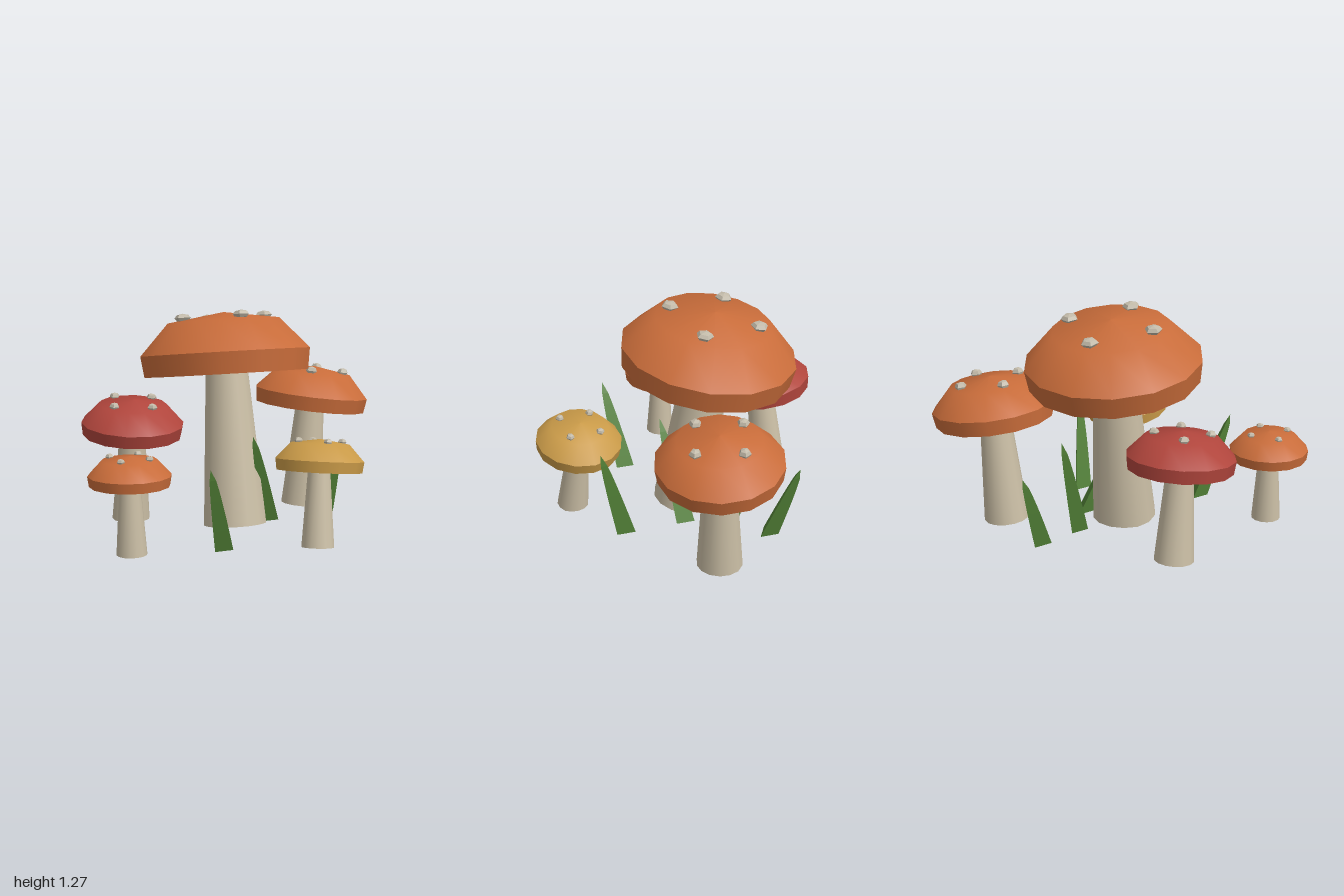
import * as THREE from 'three';

const mat = (name, color) => {
  const m = new THREE.MeshStandardMaterial({ color });
  m.name = name;
  return m;
};
const UP = new THREE.Vector3(0, 1, 0);
const SIDES = 14;

function addMesh(parent, name, geometry, material) {
  const mesh = new THREE.Mesh(geometry, material);
  mesh.name = name;
  parent.add(mesh);
  return mesh;
}

// Split faces so each gets its own flat normal
function faceted(geometry) {
  const g = geometry.toNonIndexed();
  g.computeVertexNormals();
  return g;
}

function lathe(points, r) {
  return new THREE.LatheGeometry(points.map(([x, y]) => new THREE.Vector2(x * r, y * r)), SIDES);
}

// Tapered stem from the ground to the underside of the cap
function stemGeometry(base, top, r) {
  const axis = top.clone().sub(base);
  const g = new THREE.CylinderGeometry(0.25 * r, 0.37 * r, axis.length(), SIDES);
  g.applyQuaternion(new THREE.Quaternion().setFromUnitVectors(UP, axis.clone().normalize()));
  const mid = base.clone().add(top).multiplyScalar(0.5);
  g.translate(mid.x, mid.y, mid.z);
  const p = g.attributes.position;
  for (let i = 0; i < p.count; i++) p.setY(i, Math.max(0, p.getY(i)));
  return g;
}

function mushroom({ name, r, base, cap, lean, spin, color }, stemMat, spotMat) {
  const group = new THREE.Group();
  group.name = name;
  const capPos = new THREE.Vector3(...cap);
  const axis = new THREE.Vector3(lean[0], 1, lean[1]).normalize();
  const top = capPos.clone().addScaledVector(axis, 0.04 * r);
  addMesh(group, 'stem', stemGeometry(new THREE.Vector3(...base), top, r), stemMat);

  const head = new THREE.Group();
  head.name = 'cap';
  head.position.copy(capPos);
  head.quaternion.setFromUnitVectors(UP, axis);
  group.add(head);

  // Cap: upright rim, smooth dome and flat underside
  addMesh(head, 'rim', lathe([[0.965, 0], [1, 0.245]], r), color);
  addMesh(head, 'dome', lathe([[1, 0.245], [0.66, 0.61], [0, 0.71]], r), color);
  const under = new THREE.CircleGeometry(0.965 * r, SIDES, Math.PI / 2).rotateX(Math.PI / 2);
  addMesh(head, 'underside', under, stemMat);

  // Four raised warts around the crown
  const wart = faceted(new THREE.SphereGeometry(0.1 * r, 5, 4).scale(1, r > 0.4 ? 0.5 : 0.75, 1));
  for (let i = 0; i < 4; i++) {
    const a = spin + (i * Math.PI) / 2;
    const spot = addMesh(head, 'spot', wart, spotMat);
    spot.position.set(0.51 * r * Math.cos(a), 0.66 * r, 0.51 * r * Math.sin(a));
    spot.rotation.y = -a;
  }
  return group;
}

// Three-sided grass blade leaning from its base to its tip
function bladeGeometry([bx, bz], [tx, ty, tz]) {
  const g = new THREE.CylinderGeometry(0, 0.062, 1, 3, 8, false, Math.PI).translate(0, 0.5, 0);
  const p = g.attributes.position;
  for (let i = 0; i < p.count; i++) {
    const t = p.getY(i);
    const k = t < 0.999 ? 1 / Math.sqrt(1 - t) : 0;
    p.setXYZ(i,
      p.getX(i) * k + bx + (tx - bx) * t,
      t * ty,
      p.getZ(i) * k + bz + (tz - bz) * t);
  }
  return faceted(g);
}

export function createModel() {
  const model = new THREE.Group();
  model.name = 'mushroomCluster';

  const orange = mat('orange cap', 0xc86c3a);
  const red = mat('red cap', 0xb0453c);
  const yellow = mat('yellow cap', 0xc99a48);
  const stem = mat('stem cream', 0xcbbfa6);
  const spot = mat('spot grey', 0xc2baa9);
  const green = mat('grass green', 0x517f36);

  const mushrooms = [
    { name: 'largeMushroom', r: 0.5, base: [-0.015, 0.012, -0.05], cap: [-0.015, 0.883, -0.168], lean: [0, -0.142], spin: 0, color: orange },
    { name: 'rightMushroom', r: 0.35, base: [0.585, 0.005, -0.384], cap: [0.636, 0.615, -0.387], lean: [0.128, 0], spin: 0.57, color: orange },
    { name: 'redMushroom', r: 0.3, base: [-0.516, 0.005, -0.46], cap: [-0.52, 0.52, -0.402], lean: [0, 0.125], spin: -0.46, color: red },
    { name: 'smallMushroom', r: 0.226, base: [-0.77, 0, 0.29], cap: [-0.774, 0.38, 0.284], lean: [0, 0], spin: 0.74, color: orange },
    { name: 'yellowMushroom', r: 0.248, base: [0.203, 0.005, 0.58], cap: [0.237, 0.416, 0.52], lean: [0.11, -0.13], spin: 0.14, color: yellow },
  ];
  for (const m of mushrooms) model.add(mushroom(m, stem, spot));

  // Grass blades: base x, z and tip x, y, z
  const blades = [
    [[-0.29, 0.4], [-0.425, 0.487, 0.567]],
    [[0.405, 0.205], [0.47, 0.525, 0.318]],
    [[0.22, -0.1], [0.034, 0.55, 0.09]],
    [[0.24, -0.595], [0.245, 0.45, -0.763]],
    [[0.14, -0.345], [0.13, 0.6, -0.53]],
  ];
  for (const [base, tip] of blades) addMesh(model, 'grassBlade', bladeGeometry(base, tip), green);

  return model;
}
